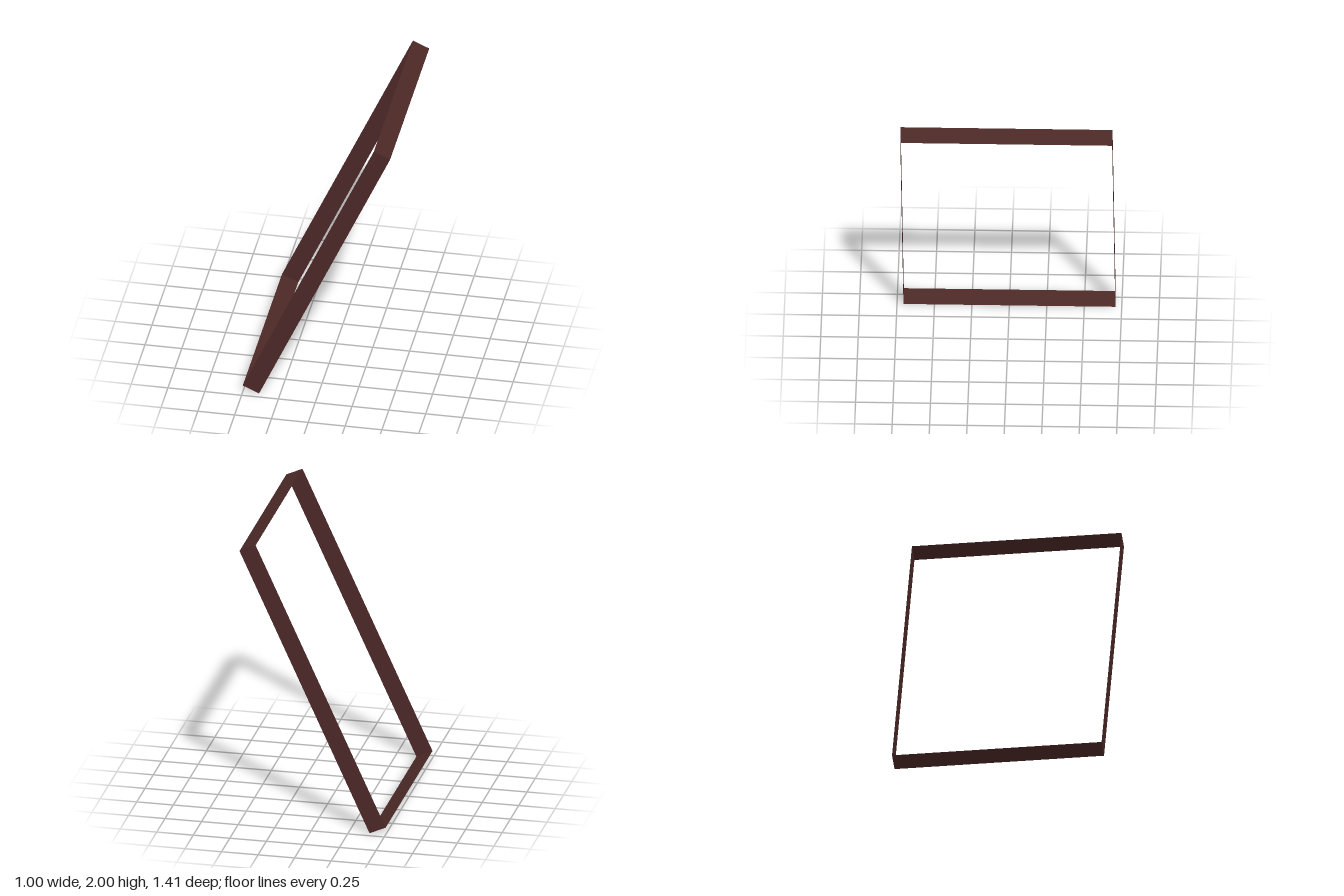
import * as THREE from 'three';

const LENGTH = 2.143; // long side of the frame
const SPAN = 1.414;   // short side, along z
const DEPTH = 0.1215; // width of the band
const TILT = THREE.MathUtils.degToRad(24.53);

export function createModel() {
  const group = new THREE.Group();
  group.name = 'tiltedFrame';

  const material = new THREE.MeshStandardMaterial({ color: 0x4a2826, side: THREE.DoubleSide });

  // Band of four thin strips, built upright and then leaned towards +x
  const frame = new THREE.Group();
  frame.name = 'frame';
  frame.position.y = 1;
  frame.rotation.z = -TILT;
  group.add(frame);

  for (const s of [1, -1]) {
    // Long strips, facing front and back
    const rail = new THREE.Mesh(new THREE.PlaneGeometry(DEPTH, LENGTH), material);
    rail.name = s > 0 ? 'frontRail' : 'backRail';
    rail.position.z = s * SPAN / 2;
    if (s < 0) rail.rotation.y = Math.PI;

    // Short strips, closing the top and bottom
    const cap = new THREE.Mesh(new THREE.PlaneGeometry(DEPTH, SPAN), material);
    cap.name = s > 0 ? 'topRail' : 'bottomRail';
    cap.position.y = s * LENGTH / 2;
    cap.rotation.x = -s * Math.PI / 2;

    frame.add(rail, cap);
  }
  return group;
}
